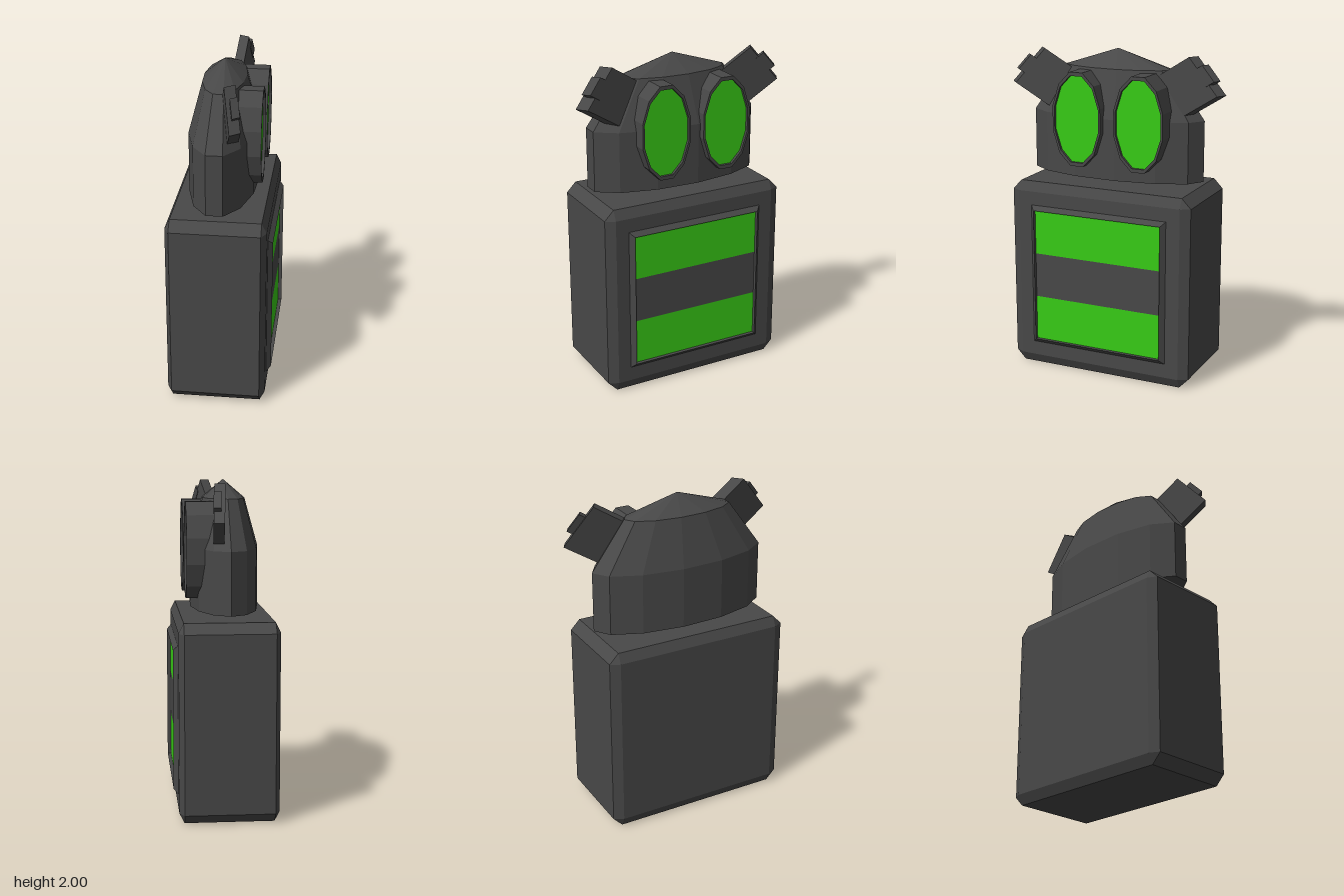
import * as THREE from 'three';
import { ConvexGeometry } from 'three/addons/geometries/ConvexGeometry.js';

const dark = new THREE.MeshStandardMaterial({ color: 0x484848, flatShading: true });
const green = new THREE.MeshStandardMaterial({ color: 0x38cc16, flatShading: true });

function add(parent, name, geometry, material = dark) {
  const mesh = new THREE.Mesh(geometry, material);
  mesh.name = name;
  parent.add(mesh);
  return mesh;
}

// Box with all edges cut, given half sizes and a cut per axis
function chamferedBox(half, cut) {
  const points = [];
  for (const sx of [-1, 1]) for (const sy of [-1, 1]) for (const sz of [-1, 1]) {
    for (let full = 0; full < 3; full++) {
      const p = half.map((h, i) => (i === full ? h : h - cut[i]));
      points.push(new THREE.Vector3(p[0] * sx, p[1] * sy, p[2] * sz));
    }
  }
  return new ConvexGeometry(points);
}

// Revolved profile of [radius, depth] points, turned to point along +x
function rimGeometry(profile, sides, ry, rz) {
  const points = profile.map(([r, d]) => new THREE.Vector2(r, d));
  return new THREE.LatheGeometry(points, sides, Math.PI / sides)
    .scale(ry, 1, rz)
    .rotateZ(-Math.PI / 2);
}

// Sheared box spanned by three edge vectors
function spanBox(center, t, d, w) {
  const side = new THREE.Vector3().crossVectors(d, w).dot(t) < 0 ? -1 : 1;
  const m = new THREE.Matrix4().makeBasis(t, d, w.clone().multiplyScalar(side));
  m.setPosition(center);
  return new THREE.BoxGeometry(1, 1, 1).applyMatrix4(m);
}

function createEye(z) {
  const eye = new THREE.Group();
  eye.name = 'eye';
  const rim = [[1, 0], [1, 0.175], [0.92, 0.175], [0.92, 0.155]];
  add(eye, 'eyeBarrel', rimGeometry(rim, 12, 0.295, 0.163));
  const lens = new THREE.CircleGeometry(1, 12, Math.PI / 12)
    .scale(0.15, 0.272, 1).rotateY(Math.PI / 2);
  add(eye, 'eyeLens', lens, green).position.x = 0.157;
  eye.position.set(0.05, 1.59, z);
  return eye;
}

// Ear plate with a small knob on its outer end
function createEar(name, end, t, d, w) {
  const ear = new THREE.Group();
  ear.name = name;
  const mid = end.clone().addScaledVector(t, 0.5);
  add(ear, 'earPlate', spanBox(mid.clone().addScaledVector(d, -0.5), t, d, w));
  const knob = mid.clone().addScaledVector(t, 0.2).addScaledVector(d, 0.02);
  add(ear, 'earKnob', spanBox(knob, t.clone().multiplyScalar(0.7),
    d.clone().multiplyScalar(0.22), w.clone().multiplyScalar(0.42)));
  return ear;
}

export function createModel() {
  const model = new THREE.Group();
  model.name = 'robot';

  // Body
  add(model, 'body', chamferedBox([0.297, 0.595, 0.59], [0.03, 0.06, 0.058]))
    .position.set(-0.015, 0.595, 0.018);

  // Chest panel: raised frame around three stripes
  const panel = new THREE.Group();
  panel.name = 'chestPanel';
  const frame = [[0.45, 0], [0.42, 0.03], [0.42, 0]];
  add(panel, 'panelFrame', rimGeometry(frame, 4, Math.SQRT2, Math.SQRT2)).position.x = 0.28;
  for (const i of [-1, 0, 1]) {
    const stripe = new THREE.PlaneGeometry(0.84, 0.28).rotateY(Math.PI / 2);
    add(panel, 'panelStripe', stripe, i ? green : dark).position.set(0.287, i * 0.28, 0);
  }
  panel.position.set(0, 0.597, 0.02);
  model.add(panel);

  // Head: faceted dome floating above the body
  const dome = [[0, 1.23], [1, 1.23], [1, 1.6], [0.62, 1.89], [0, 2]]
    .map(([r, y]) => new THREE.Vector2(r, y));
  add(model, 'head', new THREE.LatheGeometry(dome, 13, Math.PI).scale(0.207, 1, 0.562))
    .position.set(-0.02, 0, 0.018);

  // Eyes
  for (const z of [0.183, -0.22]) model.add(createEye(z));

  // Ears
  const v = (x, y, z) => new THREE.Vector3(x, y, z);
  model.add(createEar('frontEar', v(0.055, 1.878, 0.6),
    v(0.058, 0, -0.05), v(0.045, 0.17, 0.27), v(0.05, -0.215, 0.18)));
  model.add(createEar('backEar', v(0.02, 1.878, -0.6),
    v(0.06, 0, 0.035), v(0.02, 0.17, -0.27), v(0.02, -0.215, -0.185)));

  return model;
}
